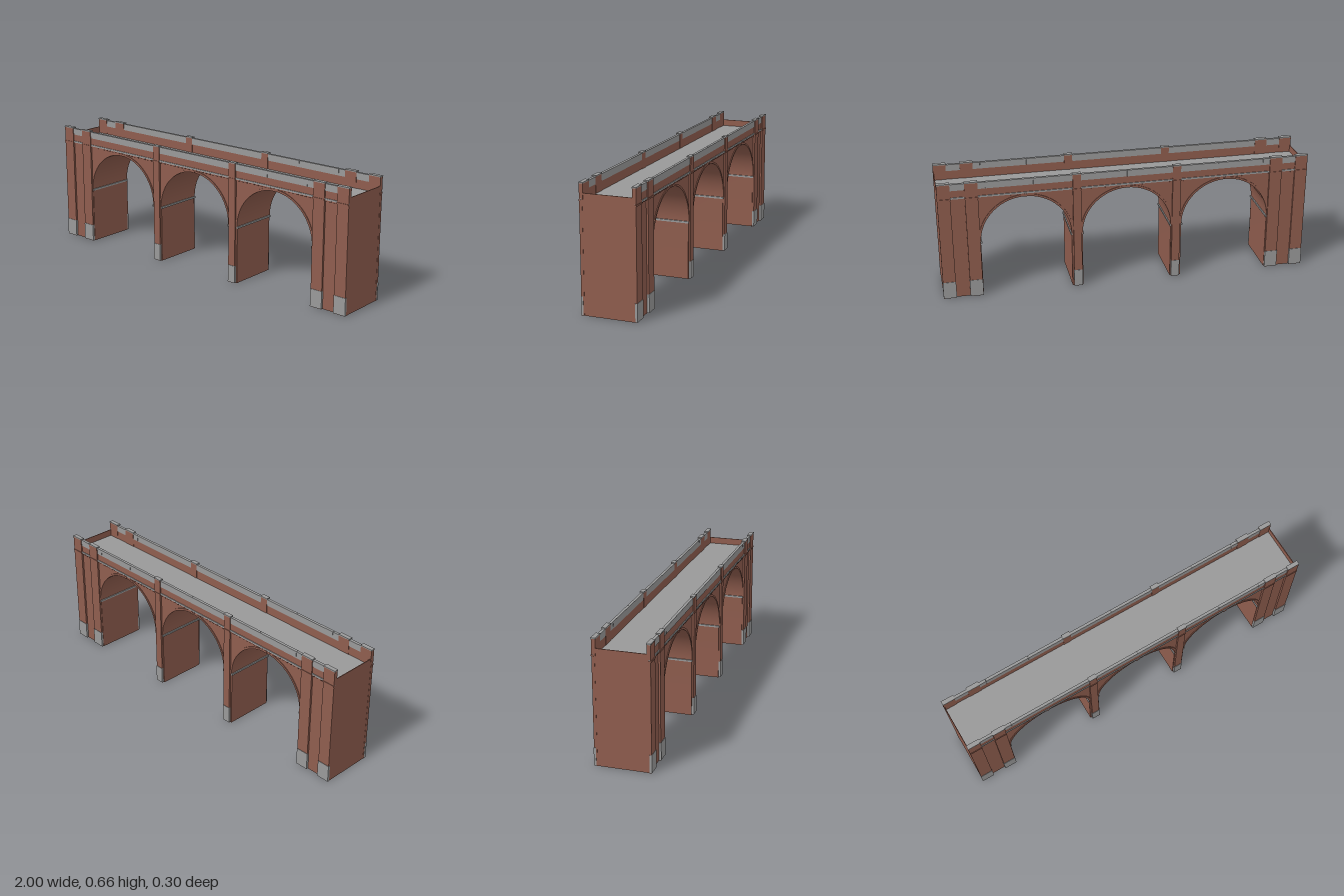
import * as THREE from 'three';
import { toCreasedNormals } from 'three/addons/utils/BufferGeometryUtils.js';

const brick = new THREE.MeshStandardMaterial({ name: 'brick', color: 0x8f5d4e });
const stone = new THREE.MeshStandardMaterial({ name: 'stone', color: 0x999999 });

const R = 0.242, SPRING = 0.314, DECK = 0.57, WALL = 0.136;
const ARCHES = [-0.543, 0, 0.543];
// [centre x, width] of the pilasters on one half of the bridge
const PILASTERS = [[0.965, 0.07], [0.822, 0.07], [0.27, 0.046]];

export function createModel() {
  const model = new THREE.Group();
  model.name = 'viaduct';

  const add = (name, geometry, material, parent = model) => {
    const mesh = new THREE.Mesh(geometry, material);
    mesh.name = name;
    parent.add(mesh);
    return mesh;
  };
  // box given by its extents
  const box = (name, mat, x0, x1, y0, y1, z0, z1, parent) => {
    const m = add(name, new THREE.BoxGeometry(x1 - x0, y1 - y0, z1 - z0), mat, parent);
    m.position.set((x0 + x1) / 2, (y0 + y1) / 2, (z0 + z1) / 2);
    return m;
  };

  // arched body
  const body = new THREE.Shape();
  body.moveTo(-0.998, 0);
  for (const x of ARCHES) {
    body.lineTo(x - R, 0);
    body.lineTo(x - R, SPRING);
    body.absarc(x, SPRING, R, Math.PI, 0, true);
    body.lineTo(x + R, 0);
  }
  body.lineTo(0.998, 0);
  body.lineTo(0.998, DECK);
  body.lineTo(-0.998, DECK);
  const bodyGeo = new THREE.ExtrudeGeometry(body, { depth: WALL * 2, bevelEnabled: false, curveSegments: 32 });
  bodyGeo.translate(0, 0, -WALL);
  add('archedBody', toCreasedNormals(bodyGeo, 0.5), brick);

  // roadway and low end walls
  box('roadway', stone, -0.995, 0.995, DECK - 0.004, DECK + 0.003, -0.128, 0.128);
  for (const s of [-1, 1]) {
    const wall = box('endWall', brick, -0.002, 0.002, DECK - 0.005, 0.61, -WALL, WALL);
    wall.position.x = s * 0.996;
  }

  // stone strings at the springing line, inside each arch
  for (const x of ARCHES) for (const s of [-1, 1]) {
    const string = box('springingString', stone, -0.004, 0.004, SPRING - 0.008, SPRING + 0.002, -0.14, 0.14);
    string.position.x = x + s * (R - 0.002);
  }

  // face details, the same on front and back
  for (const turn of [0, Math.PI]) {
    const side = new THREE.Group();
    side.name = turn ? 'backFace' : 'frontFace';
    side.rotation.y = turn;
    model.add(side);

    // parapet with stone upper course
    box('parapet', brick, -0.998, 0.998, DECK - 0.003, 0.62, 0.128, 0.14, side);
    for (let i = 0; i < 8; i++) {
      const x = -0.998 + i * 0.2495;
      box('copingBlock', stone, x + 0.0005, x + 0.249, 0.62, 0.656, 0.127, 0.142, side);
    }

    // string course and dentils
    box('stringCourse', stone, -0.999, 0.999, 0.573, 0.582, WALL, 0.144, side);
    for (let i = 0; i < 80; i++) {
      const x = -0.9875 + i * 0.025;
      box('dentil', brick, x - 0.006, x + 0.006, 0.566, 0.573, WALL - 0.001, 0.142, side);
    }

    // arch rings and keystones
    for (const x of ARCHES) {
      const ring = new THREE.Shape();
      ring.absarc(0, 0, R + 0.011, 0, Math.PI, false);
      ring.absarc(0, 0, R, Math.PI, 0, true);
      const geo = new THREE.ExtrudeGeometry(ring, { depth: 0.005, bevelEnabled: false, curveSegments: 32 });
      const mesh = add('archRing', toCreasedNormals(geo, 0.5), brick, side);
      mesh.position.set(x, SPRING, WALL - 0.001);
      box('keystone', brick, x - 0.009, x + 0.009, SPRING + R, SPRING + R + 0.014, WALL - 0.001, 0.143, side);
    }

    // pilasters with plinth, band and cap
    for (const s of [-1, 1]) for (const [px, w] of PILASTERS) {
      const pilaster = new THREE.Group();
      pilaster.name = 'pilaster';
      pilaster.position.x = s * px;
      side.add(pilaster);
      const h = w / 2;
      box('shaft', brick, -h + 0.001, h - 0.001, 0, DECK, 0.13, 0.146, pilaster);
      box('head', brick, -h + 0.001, h - 0.001, DECK, 0.656, 0.126, 0.146, pilaster);
      box('plinth', stone, -h, h, 0.002, 0.096, WALL, 0.148, pilaster);
      box('band', brick, -h, h, 0.569, 0.577, WALL, 0.149, pilaster);
      box('cap', stone, -h, h, 0.656, 0.662, 0.124, 0.148, pilaster);
    }
  }
  return model;
}
